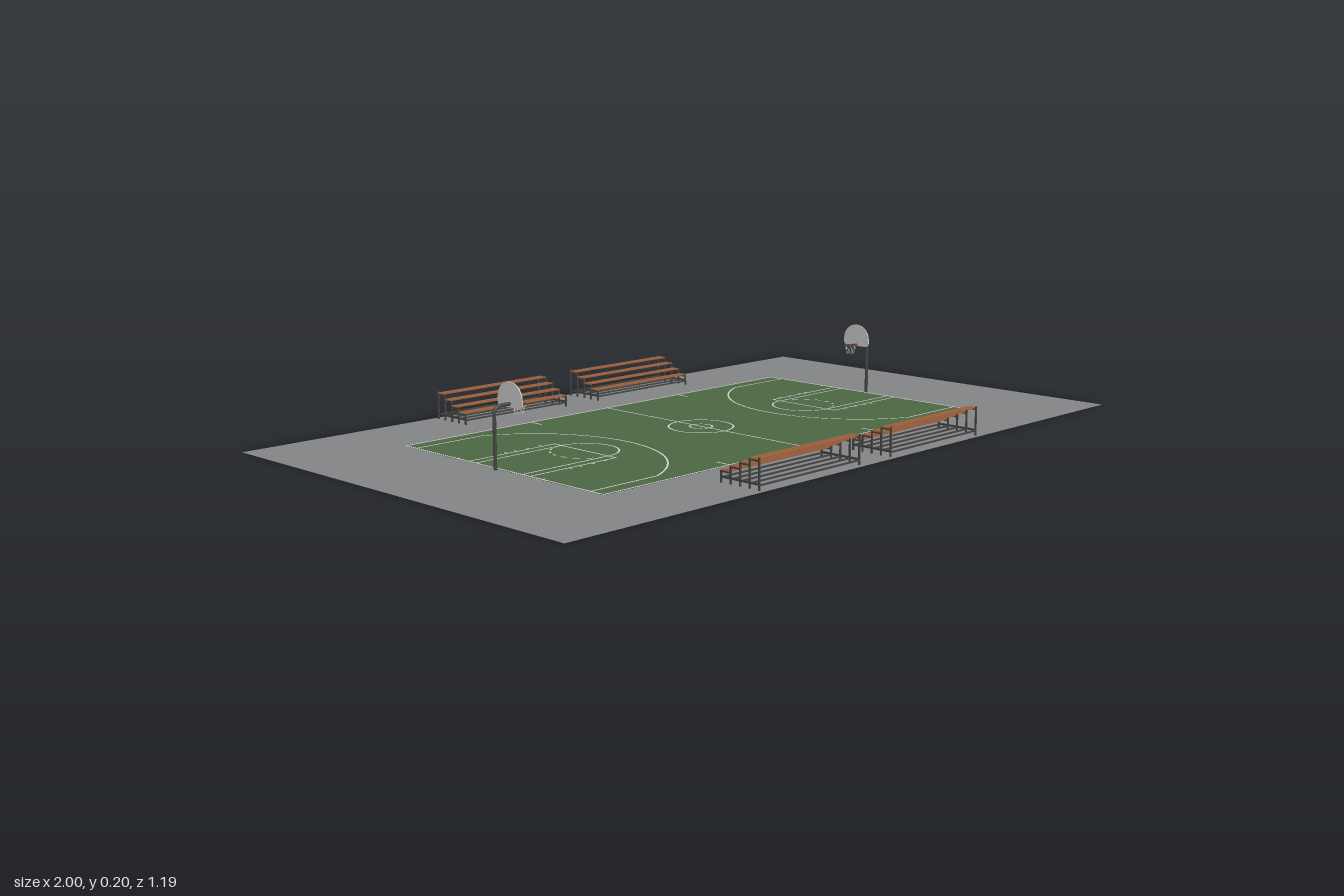
import * as THREE from 'three';

const mat = (color) => new THREE.MeshStandardMaterial({ color, side: THREE.DoubleSide });
const asphalt = mat(0x828384), green = mat(0x4b6541), white = mat(0xe4e4e4);
const steel = mat(0x444444), wood = mat(0x9c5f3c), panel = mat(0xcccccc), red = mat(0x6a4640);

function add(parent, name, geometry, material, x = 0, y = 0, z = 0) {
  const mesh = new THREE.Mesh(geometry, material);
  mesh.name = name;
  mesh.position.set(x, y, z);
  parent.add(mesh);
  return mesh;
}
const box = (parent, name, material, w, h, d, x, y, z) =>
  add(parent, name, new THREE.BoxGeometry(w, h, d), material, x, y, z);

// Thin bar between two points
function rod(parent, name, a, b, r, material) {
  const path = new THREE.LineCurve3(new THREE.Vector3(...a), new THREE.Vector3(...b));
  return add(parent, name, new THREE.TubeGeometry(path, 1, r, 5), material);
}

// Flat painted markings
const COURT_X = 0.68, COURT_Z = 0.36, LINE = 0.005, LINE_Y = 0.0016;
const flat = (geometry) => geometry.rotateX(-Math.PI / 2);
const stripe = (parent, name, x0, z0, x1, z1) =>
  add(parent, name, flat(new THREE.PlaneGeometry(Math.abs(x1 - x0) + LINE, Math.abs(z1 - z0) + LINE)),
    white, (x0 + x1) / 2, LINE_Y, (z0 + z1) / 2);
const arc = (parent, name, x, r, start = 0, length = Math.PI * 2) =>
  add(parent, name, flat(new THREE.RingGeometry(r - LINE / 2, r + LINE / 2,
    Math.max(2, Math.ceil(length * 10)), 1, start, length)), white, x, LINE_Y, 0);

// Markings of the +x half
function halfMarkings() {
  const g = new THREE.Group();
  g.name = 'halfCourtMarkings';
  const ftX = 0.41, hoopX = 0.61, arcR = 0.346, cornerZ = 0.318;
  stripe(g, 'baseline', COURT_X, -COURT_Z, COURT_X, COURT_Z);
  stripe(g, 'freeThrowLine', ftX, -0.112, ftX, 0.112);
  for (const s of [-1, 1]) {
    stripe(g, 'sideline', 0, s * COURT_Z, COURT_X, s * COURT_Z);
    stripe(g, 'outerLaneLine', ftX, s * 0.112, COURT_X, s * 0.112);
    stripe(g, 'innerLaneLine', ftX, s * 0.085, COURT_X, s * 0.085);
    stripe(g, 'cornerThreeLine', 0.475, s * cornerZ, COURT_X, s * cornerZ);
    stripe(g, 'hashMark', 0.275, s * 0.32, 0.275, s * COURT_Z);
    stripe(g, 'baselineTick', COURT_X - 0.006, s * 0.155, COURT_X, s * 0.155);
    for (const x of [0.45, 0.49, 0.53, 0.56])
      stripe(g, 'laneTick', x, s * 0.115, x, s * 0.122);
  }
  const half = Math.asin(cornerZ / arcR);
  arc(g, 'threePointArc', hoopX, arcR, Math.PI - half, 2 * half);
  arc(g, 'freeThrowArc', ftX, 0.085, Math.PI / 2, Math.PI);
  const dashes = 8, step = Math.PI / dashes;
  for (let i = 0; i < dashes; i++)
    arc(g, 'freeThrowDash', ftX, 0.085, -Math.PI / 2 + (i + 0.25) * step, step * 0.5);
  return g;
}

// Gooseneck post, fan backboard, rim and net at the +x end
function basketHoop() {
  const g = new THREE.Group();
  g.name = 'basketHoop';
  const V = (x, y) => new THREE.Vector3(x, y, 0);
  const path = new THREE.CurvePath();
  path.add(new THREE.LineCurve3(V(0.69, 0), V(0.69, 0.13)));
  path.add(new THREE.QuadraticBezierCurve3(V(0.69, 0.13), V(0.69, 0.151), V(0.668, 0.151)));
  path.add(new THREE.LineCurve3(V(0.668, 0.151), V(0.643, 0.151)));
  add(g, 'post', new THREE.TubeGeometry(path, 60, 0.0045, 10), steel);

  const shape = new THREE.Shape();
  shape.moveTo(-0.034, 0.142);
  shape.lineTo(0.034, 0.142);
  shape.quadraticCurveTo(0.044, 0.143, 0.044, 0.153);
  shape.lineTo(0.044, 0.163);
  shape.bezierCurveTo(0.043, 0.186, 0.024, 0.203, 0, 0.203);
  shape.bezierCurveTo(-0.024, 0.203, -0.043, 0.186, -0.044, 0.163);
  shape.lineTo(-0.044, 0.153);
  shape.quadraticCurveTo(-0.044, 0.143, -0.034, 0.142);
  const board = new THREE.ExtrudeGeometry(shape, { depth: 0.003, bevelEnabled: false, curveSegments: 10 });
  add(g, 'backboard', board.rotateY(Math.PI / 2), panel, 0.64, 0, 0);

  const rimX = 0.615, rimY = 0.146, rimR = 0.017;
  add(g, 'rim', flat(new THREE.TorusGeometry(rimR, 0.0015, 6, 24)), red, rimX, rimY, 0);
  box(g, 'rimBracket', red, 0.01, 0.005, 0.012, 0.636, rimY, 0);

  // Net: crossing cords tapering downwards
  const n = 8, point = (i, r, y) => {
    const a = (i / n) * Math.PI * 2;
    return [rimX + r * Math.cos(a), y, r * Math.sin(a)];
  };
  for (let i = 0; i < n; i++)
    for (const s of [-1, 1])
      rod(g, 'netCord', point(i, rimR, rimY), point(i + s, 0.01, 0.122), 0.0004, white);
  return g;
}

// Four-tier bleacher facing -z, centred on x
function bleacher() {
  const g = new THREE.Group();
  g.name = 'bleacher';
  const tiers = 4, halfLength = 0.18, z0 = 0.463, depth = 0.0288;
  const seatY = (i) => 0.029 + i * 0.0137;
  for (let i = 0; i <= tiers; i++) {
    const z = z0 + i * depth, top = seatY(Math.min(i, tiers - 1)) + (i === tiers ? 0.005 : 0);
    for (const s of [-1, 1])
      box(g, 'framePost', steel, 0.004, top, 0.004, s * (halfLength - 0.004), top / 2, z);
    box(g, 'baseRail', steel, 2 * halfLength - 0.008, 0.004, 0.004, 0, 0.012, z);
  }
  for (const s of [-1, 1])
    box(g, 'sideRail', steel, 0.004, 0.005, tiers * depth, s * (halfLength - 0.004), 0.014, z0 + tiers * depth / 2);
  for (let i = 0; i < tiers; i++) {
    const y = seatY(i), z = z0 + (i + 0.5) * depth;
    for (const s of [-1, 1]) {
      box(g, 'seatPlank', wood, 2 * halfLength, 0.003, 0.0105, 0, y + 0.001, z + s * 0.0068);
      box(g, 'seatBracket', steel, 0.004, 0.004, depth, s * (halfLength - 0.004), y - 0.0025, z);
    }
  }
  return g;
}

export function createModel() {
  const model = new THREE.Group();
  model.name = 'basketballCourt';

  // Paved surround with an opening for the court
  const rect = (path, x, z) => path.moveTo(-x, -z).lineTo(x, -z).lineTo(x, z).lineTo(-x, z).closePath();
  const ground = rect(new THREE.Shape(), 1, 0.593);
  ground.holes.push(rect(new THREE.Path(), COURT_X, COURT_Z));
  add(model, 'pavedSurround', flat(new THREE.ShapeGeometry(ground)), asphalt);
  add(model, 'playingSurface', flat(new THREE.PlaneGeometry(2 * COURT_X, 2 * COURT_Z)), green, 0, 0.0004, 0);

  // Centre markings
  stripe(model, 'centreLine', 0, -COURT_Z, 0, COURT_Z);
  arc(model, 'centreCircle', 0, 0.085);
  arc(model, 'innerCentreCircle', 0, 0.03);

  // Both ends and both sides, each turned half a circle
  for (const turn of [0, Math.PI]) {
    const half = new THREE.Group();
    half.name = turn ? 'rightHalf' : 'leftHalf';
    half.rotation.y = turn;
    half.add(halfMarkings(), basketHoop());
    for (const x of [-0.236, 0.236]) {
      const stand = bleacher();
      stand.position.x = x;
      half.add(stand);
    }
    model.add(half);
  }
  return model;
}
